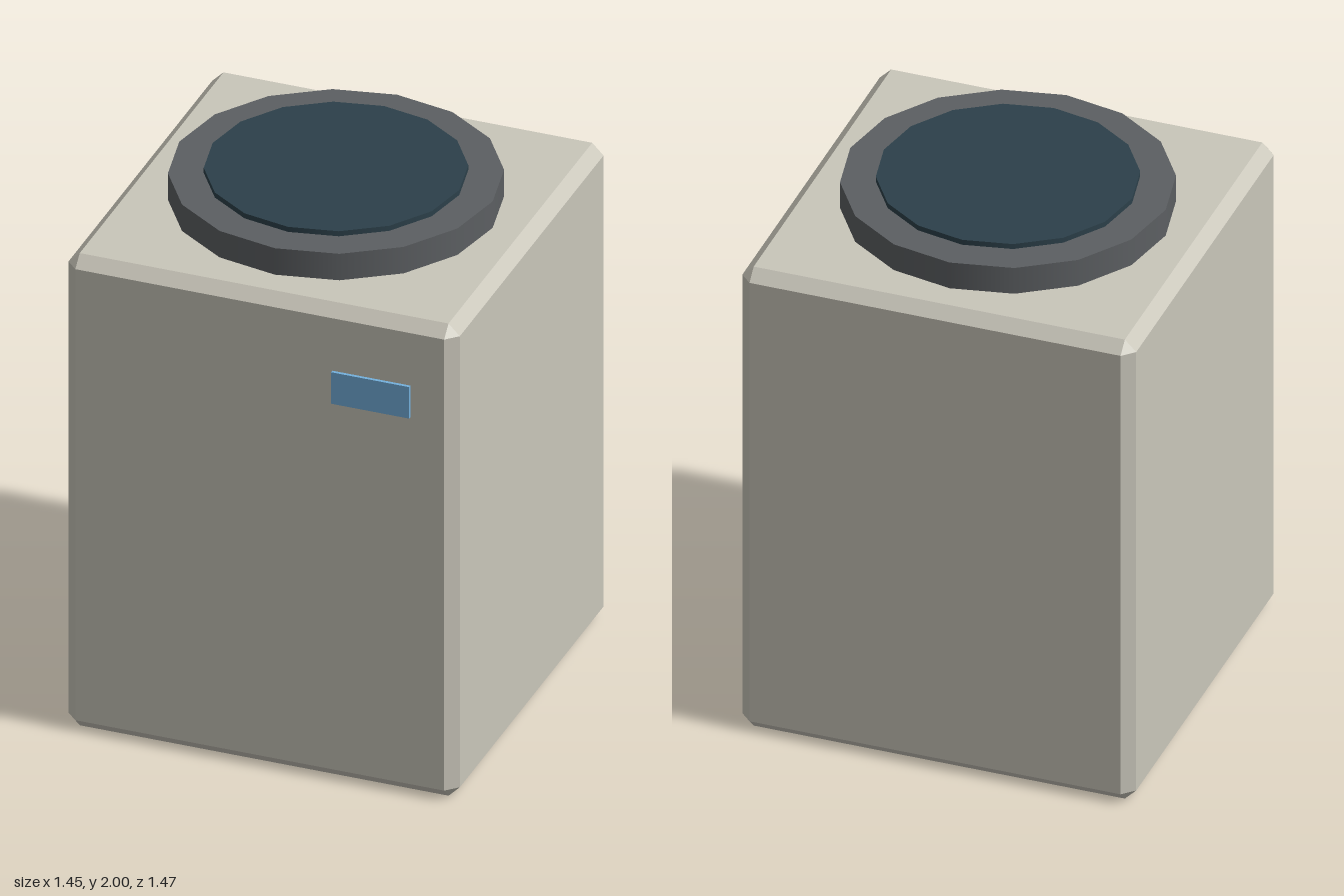
import * as THREE from 'three';
import { ConvexGeometry } from 'three/addons/geometries/ConvexGeometry.js';

const material = (color) => new THREE.MeshStandardMaterial({ color });

// Box with flat chamfers and triangular corners, centred on the origin
function chamferedBox(w, h, d, c) {
  const points = [];
  for (const sx of [-1, 1]) for (const sy of [-1, 1]) for (const sz of [-1, 1]) {
    const x = w / 2, y = h / 2, z = d / 2;
    points.push(
      new THREE.Vector3(sx * x, sy * (y - c), sz * (z - c)),
      new THREE.Vector3(sx * (x - c), sy * y, sz * (z - c)),
      new THREE.Vector3(sx * (x - c), sy * (y - c), sz * z)
    );
  }
  return new ConvexGeometry(points);
}

export function createModel() {
  const model = new THREE.Group();
  const cz = -0.006; // the panel stands proud, so the body sits slightly back

  function add(name, geometry, color, x, y, z) {
    const mesh = new THREE.Mesh(geometry, material(color));
    mesh.name = name;
    mesh.position.set(x, y, z);
    model.add(mesh);
  }

  // Chamfered cabinet
  add('body', chamferedBox(1.454, 1.875, 1.454, 0.042), 0xc9c6ba, 0, 0.9375, cz);

  // Raised 16-sided collar and the lid set into it
  add('collar', new THREE.CylinderGeometry(0.582, 0.582, 0.105, 16), 0x5c5f62, 0, 1.9275, cz);
  add('lid', new THREE.CylinderGeometry(0.458, 0.458, 0.06, 16), 0x2c404a, 0, 1.97, cz);

  // Small display panel on the front
  add('displayPanel', new THREE.BoxGeometry(0.29, 0.125, 0.03), 0x73b0dc, 0.415, 1.5625, 0.718);

  return model;
}
